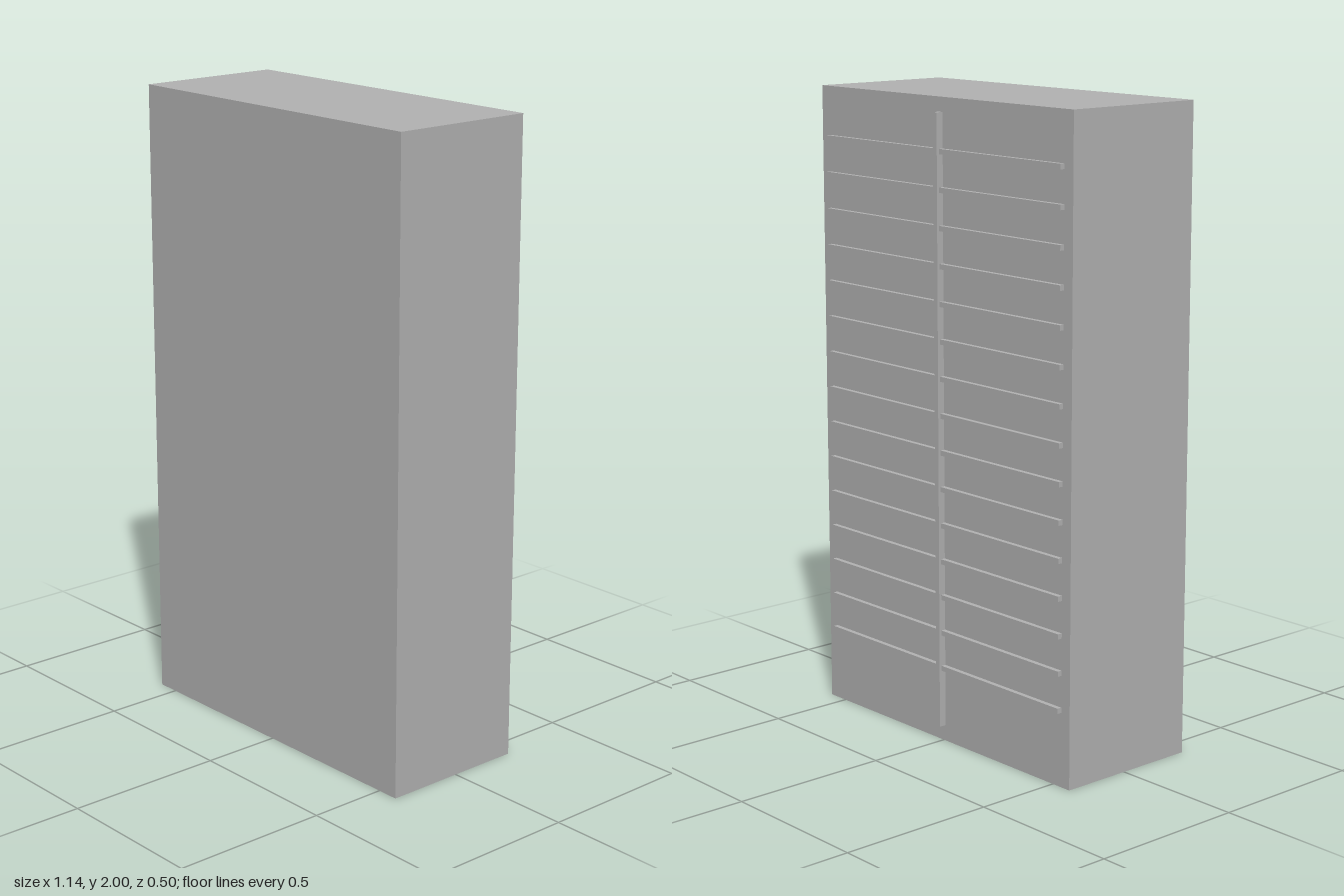
import * as THREE from 'three';

export function createModel() {
  const model = new THREE.Group();
  const grey = new THREE.MeshStandardMaterial({ color: 0xb2b2b2 });
  grey.name = 'plain grey';

  // Box placed by its centre in x and y, and by its two faces in z
  const addBox = (name, width, height, y, zBack, zFront) => {
    const mesh = new THREE.Mesh(new THREE.BoxGeometry(width, height, zFront - zBack), grey);
    mesh.name = name;
    mesh.position.set(0, y, (zBack + zFront) / 2);
    model.add(mesh);
  };

  const backFace = -0.227;

  // Solid cabinet body
  addBox('cabinetBody', 1.142, 2, 1, backFace, 0.25);

  // Upright rod down the middle of the back
  addBox('uprightRod', 0.017, 1.905, 1.003, -0.25, backFace);

  // Evenly spaced cross bars behind the body
  const bars = 15, lowest = 0.24, highest = 1.84;
  for (let i = 0; i < bars; i++) {
    const y = lowest + (highest - lowest) * i / (bars - 1);
    addBox(`crossBar${i + 1}`, 1.07, 0.016, y, -0.242, backFace);
  }

  return model;
}
